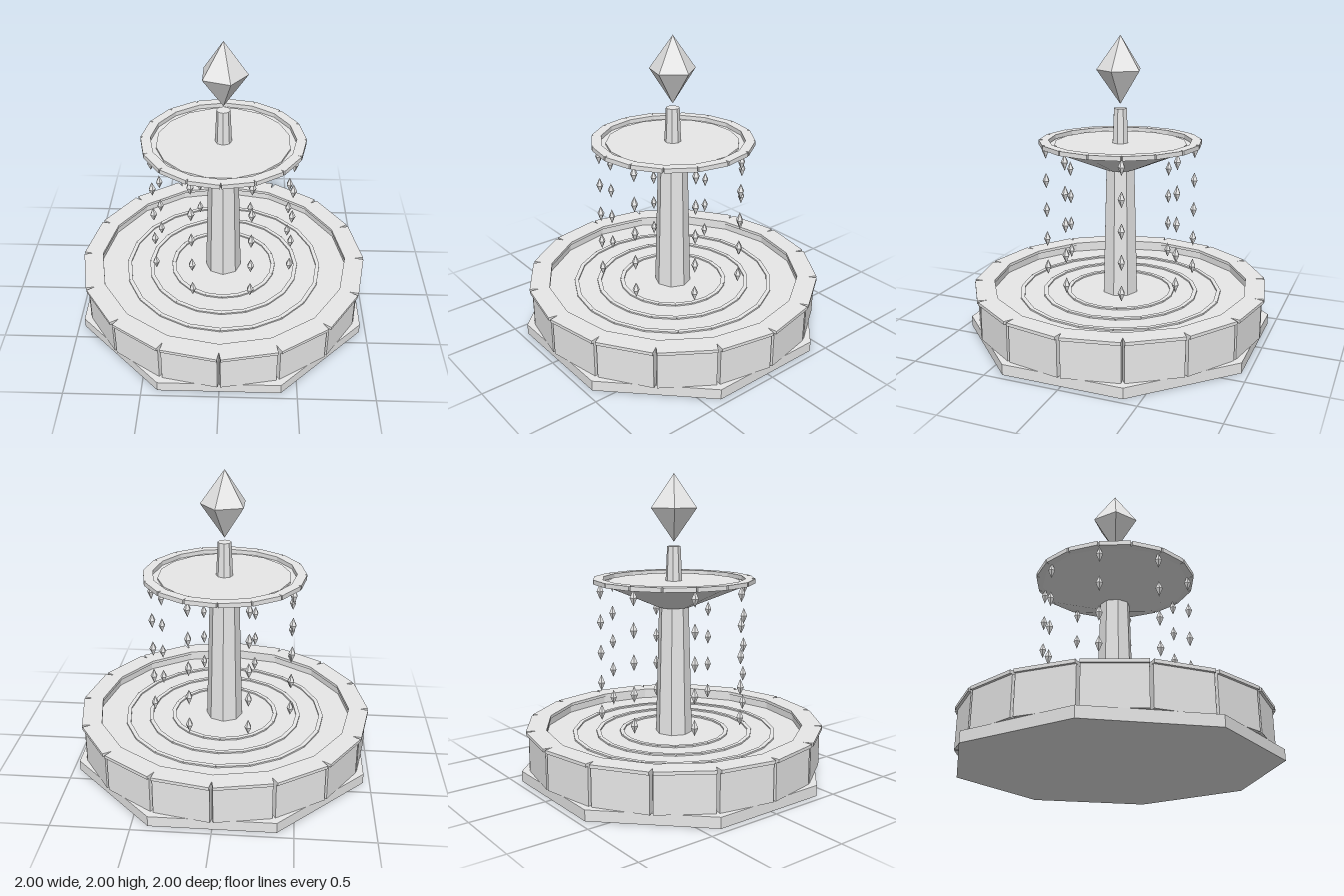
import * as THREE from 'three';

export function createModel() {
  const root = new THREE.Group();
  root.name = 'fountain';
  const stone = new THREE.MeshStandardMaterial({ color: 0xe8e8e8, flatShading: true });
  stone.name = 'stone';

  const add = (name, geometry, parent = root) => {
    const mesh = new THREE.Mesh(geometry, stone);
    mesh.name = name;
    parent.add(mesh);
    return mesh;
  };

  // Straight or tapered prism between two heights
  const prism = (name, rBottom, rTop, y0, y1, sides, turn = 0) => {
    const g = new THREE.CylinderGeometry(rTop, rBottom, y1 - y0, sides);
    g.rotateY(turn);
    g.translate(0, (y0 + y1) / 2, 0);
    return add(name, g);
  };

  // Ring of straight blocks, with narrow gaps opening at the outside
  const blockRing = (name, count, inner, outer, halfWidth, y0, y1) => {
    const group = new THREE.Group();
    group.name = name;
    root.add(group);
    const g = new THREE.BoxGeometry(halfWidth * 2, y1 - y0, outer - inner);
    g.translate(0, (y0 + y1) / 2, (inner + outer) / 2);
    for (let i = 0; i < count; i++) {
      add(name + 'Block', g, group).rotation.y = ((i + 0.5) / count) * Math.PI * 2;
    }
  };

  // Double-ended point with one corner towards +x
  const bicone = (r, h, sides) => new THREE.LatheGeometry(
    [new THREE.Vector2(0, -h), new THREE.Vector2(r, 0), new THREE.Vector2(0, h)], sides)
    .rotateY(Math.PI / 2);

  // Octagonal plinth and pool
  prism('plinth', 1.035, 1.035, 0, 0.07, 8, Math.PI / 8);
  prism('poolWater', 0.89, 0.89, 0.07, 0.265, 16);
  blockRing('poolWall', 16, 0.862, 0.966, 0.182, 0.07, 0.318);
  blockRing('poolCoping', 16, 0.85, 0.983, 0.183, 0.315, 0.336);

  // Ripples on the pool
  for (const r of [0.69, 0.53, 0.37]) {
    const outer = r * Math.cos(Math.PI / 20);
    blockRing('ripple', 20, outer - 0.027, outer, (r - 0.013) * Math.sin(Math.PI / 20), 0.26, 0.275);
  }

  // Column, upper bowl and spout
  prism('column', 0.125, 0.1, 0.22, 1.13, 8);
  prism('bowl', 0.11, 0.5, 1.125, 1.287, 12);
  blockRing('bowlRim', 16, 0.466, 0.53, 0.1, 1.29, 1.319);
  prism('bowlWater', 0.44, 0.44, 1.28, 1.3, 16, Math.PI / 16);
  prism('spout', 0.056, 0.045, 1.285, 1.528, 8);

  // Crystal floating above the spout
  add('crystal', bicone(0.157, 0.222, 5)).position.y = 1.778;

  // Strings of falling drops
  const drops = new THREE.Group();
  drops.name = 'waterDrops';
  root.add(drops);
  const dropGeometry = bicone(0.024, 0.054, 5);
  for (let i = 0; i < 8; i++) {
    const a = ((i + 0.5) / 8) * Math.PI * 2;
    for (let j = 0; j < 5; j++) {
      add('waterDrop', dropGeometry, drops)
        .position.set(Math.cos(a) * 0.496, 1.244 - j * 0.203, Math.sin(a) * 0.496);
    }
  }
  return root;
}
